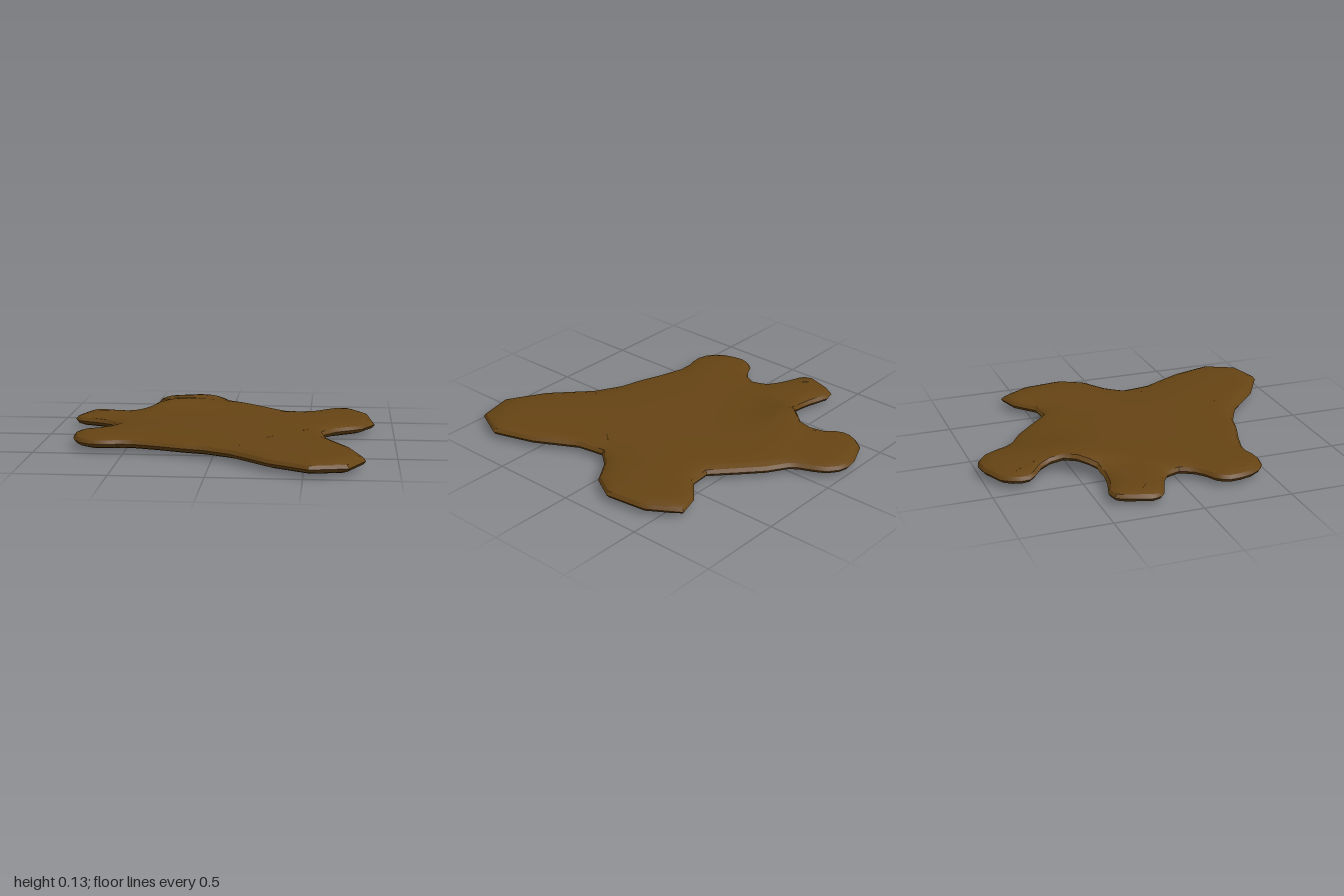
import * as THREE from 'three';
import { toCreasedNormals } from 'three/addons/utils/BufferGeometryUtils.js';

// Outline of the flat hide: rounded head, then the limbs in turn (x, z pairs)
const OUTLINE = [
  -.46, -.78, -.46, -.83, -.44, -.88, -.40, -.93, -.33, -.96, -.26, -.99, -.19, -1, -.13, -.985,
  -.07, -.94, -.03, -.87, 0, -.80, .03, -.76, .14, -.69, .27, -.57, .38, -.465, .50, -.475,
  .62, -.58, .75, -.62, .86, -.44, .89, -.20, .81, -.06, .67, .03, .595, .12, .62, .28,
  .75, .52, .825, .76, .735, .945, .53, .99, .31, .86, .10, .66, -.05, .58, -.17, .55,
  -.31, .50, -.45, .46, -.53, .46, -.58, .475, -.64, .48, -.70, .465, -.75, .43, -.79, .37,
  -.81, .30, -.815, .24, -.80, .19, -.77, .155, -.71, .125, -.66, .085, -.62, .01, -.65, -.07,
  -.71, -.11, -.78, -.14, -.85, -.165, -.88, -.19, -.895, -.24, -.875, -.30, -.85, -.38, -.82, -.43,
  -.76, -.445, -.71, -.43, -.64, -.41, -.56, -.40, -.47, -.415, -.44, -.45, -.39, -.50, -.34, -.56,
  -.34, -.63, -.37, -.69, -.43, -.74,
];

const outline = [];
for (let i = 0; i < OUTLINE.length; i += 2) outline.push(new THREE.Vector2(OUTLINE[i], OUTLINE[i + 1]));
const N = outline.length;

// Outline moved inwards by a distance
function inset(d) {
  return outline.map((p, i) => {
    const a = outline[(i + N - 1) % N], b = outline[(i + 1) % N];
    const t = b.clone().sub(a).normalize();
    return new THREE.Vector2(p.x - t.y * d, p.y + t.x * d);
  });
}

// Shortest distance from a point to the outline
function edgeDistance(p) {
  let best = Infinity;
  for (let i = 0; i < N; i++) {
    const a = outline[i], b = outline[(i + 1) % N];
    const dx = b.x - a.x, dy = b.y - a.y;
    const t = THREE.MathUtils.clamp(((p.x - a.x) * dx + (p.y - a.y) * dy) / (dx * dx + dy * dy), 0, 1);
    best = Math.min(best, Math.hypot(p.x - a.x - t * dx, p.y - a.y - t * dy));
  }
  return best;
}

// Half thickness by distance from the edge
const PROFILE = [[0, 0], [.015, .02], [.05, .032], [.12, .040], [.35, .047], [2, .047]];
function halfThickness(d) {
  const k = PROFILE.findIndex((q) => q[0] >= d);
  if (k <= 0) return 0;
  const [d0, h0] = PROFILE[k - 1], [d1, h1] = PROFILE[k];
  return h0 + (h1 - h0) * (d - d0) / (d1 - d0);
}

// Raised fold where the head meets the shoulder
function lift(x, z) {
  const dx = (x + .39) / (x < -.39 ? .11 : .3), dz = (z + .5) / .22;
  return .055 * Math.exp(-dx * dx - dz * dz);
}

// Halve the longest edge until the triangles are small
function split(a, b, c, out) {
  const ab = a.distanceTo(b), bc = b.distanceTo(c), ca = c.distanceTo(a);
  const longest = Math.max(ab, bc, ca);
  if (longest < .09) out.push([a, b, c]);
  else if (longest === ab) halve(a, b, c, out);
  else if (longest === bc) halve(b, c, a, out);
  else halve(c, a, b, out);
}
function halve(a, b, c, out) {
  const m = a.clone().add(b).multiplyScalar(.5);
  split(a, m, c, out);
  split(m, b, c, out);
}

function createHideGeometry() {
  // Rim bands and the inner area, as one flat sheet
  const rings = [outline, inset(.015), inset(.05)];
  const sheet = [];
  for (let r = 0; r < 2; r++) {
    for (let i = 0; i < N; i++) {
      const j = (i + 1) % N, p = rings[r], q = rings[r + 1];
      split(p[i], p[j], q[j], sheet);
      split(p[i], q[j], q[i], sheet);
    }
  }
  const inner = rings[2];
  for (const [a, b, c] of THREE.ShapeUtils.triangulateShape(inner, [])) split(inner[a], inner[b], inner[c], sheet);

  // The sheet becomes an upper and a lower skin
  const positions = [];
  for (const tri of sheet) {
    const [a, b, c] = tri;
    const up = (b.x - a.x) * (c.y - a.y) - (b.y - a.y) * (c.x - a.x) < 0;
    const heights = tri.map((p) => [.048 + lift(p.x, p.y), halfThickness(edgeDistance(p))]);
    for (const side of [1, -1]) {
      const order = up === (side > 0) ? [0, 1, 2] : [0, 2, 1];
      for (const k of order) positions.push(tri[k].x, heights[k][0] + side * heights[k][1], tri[k].y);
    }
  }
  const geometry = new THREE.BufferGeometry();
  geometry.setAttribute('position', new THREE.Float32BufferAttribute(positions, 3));
  return toCreasedNormals(geometry, .5);
}

export function createModel() {
  const group = new THREE.Group();
  group.name = 'hideRug';
  const hide = new THREE.Mesh(createHideGeometry(), new THREE.MeshStandardMaterial({ color: 0x664414 }));
  hide.name = 'hide';
  group.add(hide);
  return group;
}
